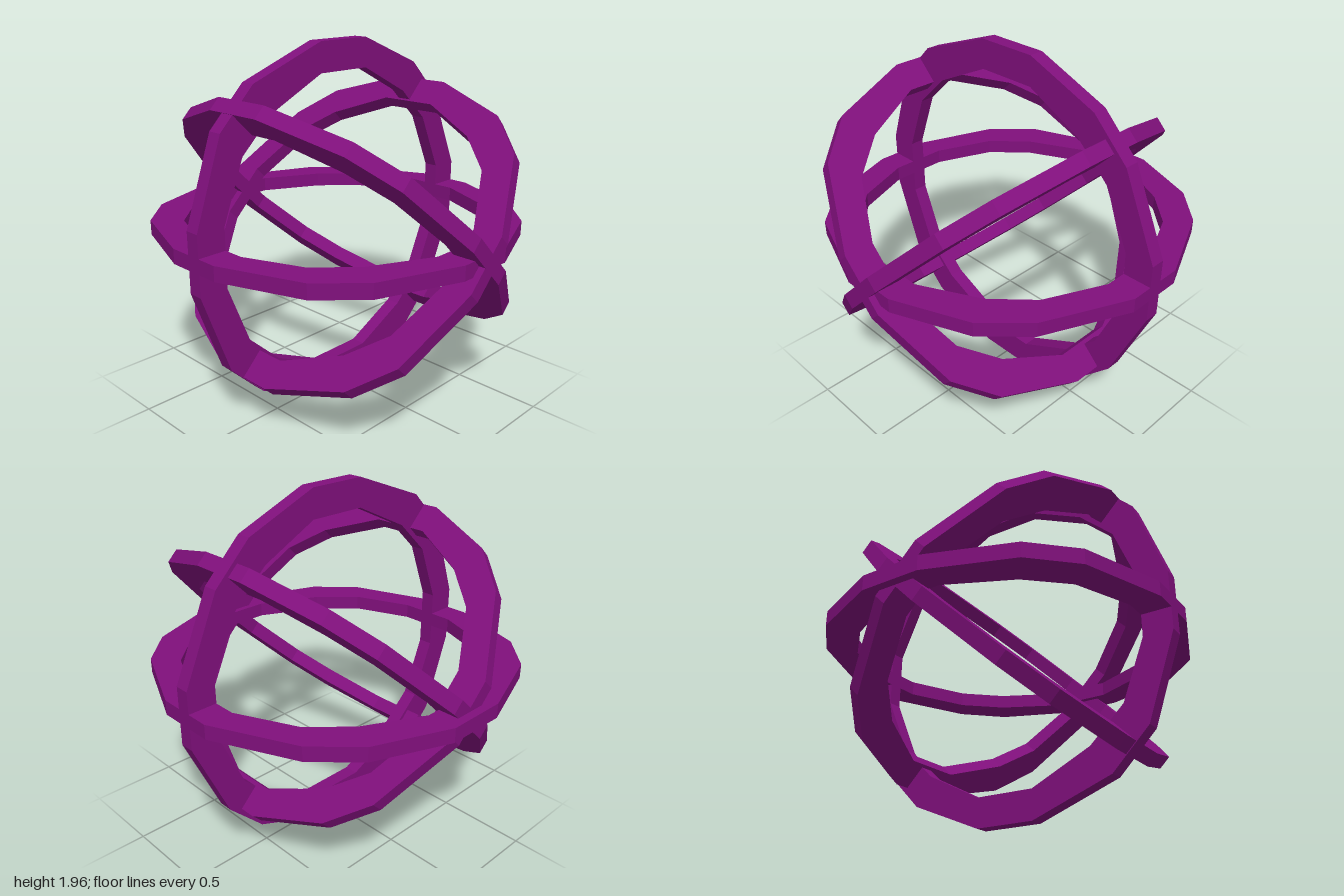
import * as THREE from 'three';

const THICKNESS = 0.08;

// Faceted outlines in the ring's own plane, top half from right to left
const OUTER = [[0.975, 0.16], [0.775, 0.61], [0.57, 0.815], [0.165, 0.98],
  [-0.165, 0.98], [-0.61, 0.815], [-0.815, 0.61], [-0.975, 0.16]];
const INNER = [[0.815, 0.16], [0.67, 0.48], [0.48, 0.66], [0.165, 0.82],
  [-0.165, 0.82], [-0.5, 0.66], [-0.69, 0.48], [-0.815, 0.16]];

// Close a half outline by mirroring it downwards
function closed(half) {
  const lower = half.map(([x, y]) => [x, -y]).reverse();
  return [...half, ...lower].map(([x, y]) => new THREE.Vector2(x, y));
}

function ringGeometry() {
  const shape = new THREE.Shape(closed(OUTER));
  shape.holes.push(new THREE.Path(closed(INNER)));
  const geometry = new THREE.ExtrudeGeometry(shape, { depth: THICKNESS, bevelEnabled: false });
  geometry.translate(0, 0, -THICKNESS / 2);
  return geometry;
}

export function createModel() {
  const group = new THREE.Group();
  group.name = 'armillarySphere';
  const geometry = ringGeometry();
  const material = new THREE.MeshStandardMaterial({ color: 0x80107c, flatShading: true });

  const addRing = (name, position, rotation) => {
    const ring = new THREE.Mesh(geometry, material);
    ring.name = name;
    ring.position.set(...position);
    ring.rotation.set(...rotation, 'ZYX');
    group.add(ring);
  };

  // Upright and level rings
  addRing('uprightRing', [0, 0.98, -0.016], [0, 0, 0]);
  addRing('levelRing', [0, 0.98, -0.02], [-Math.PI / 2, 0, 0]);

  // Two crossing rings, turned side-on and leaning 45 degrees each way
  addRing('ringLeaningLeft', [-0.02, 0.967, 0.02], [0, Math.PI / 2, -Math.PI / 4]);
  addRing('ringLeaningRight', [-0.02, 1.003, 0.02], [0, Math.PI / 2, Math.PI / 4]);

  return group;
}
